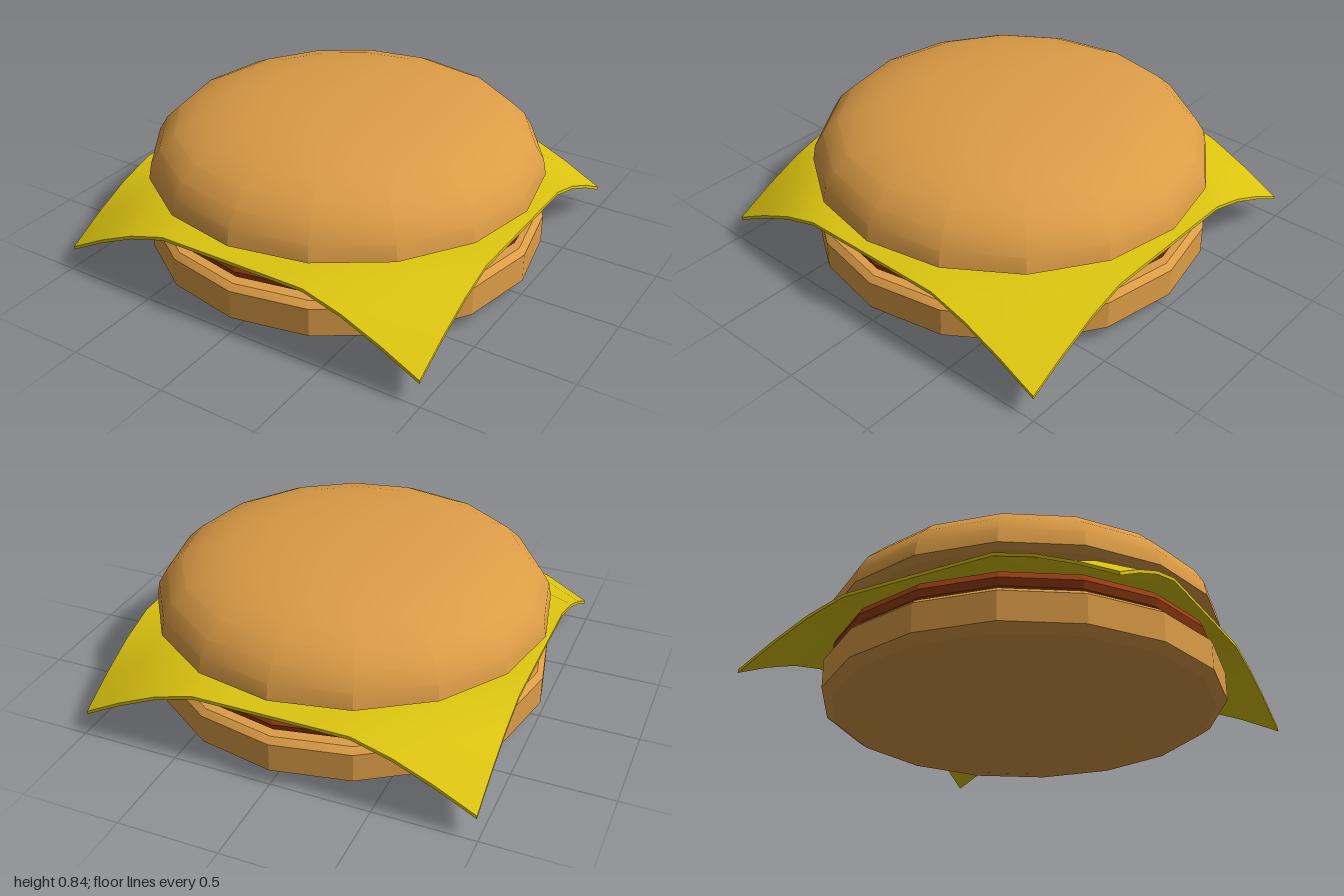
import * as THREE from 'three';
import { toCreasedNormals } from 'three/addons/utils/BufferGeometryUtils.js';

const mat = (name, color) => {
  const m = new THREE.MeshStandardMaterial({ color });
  m.name = name;
  return m;
};

// Sixteen-sided turned part from an [radius, height] profile, bottom to top
function turned(name, profile, material) {
  const points = profile.map(([r, y]) => new THREE.Vector2(r, y));
  const geometry = toCreasedNormals(new THREE.LatheGeometry(points, 16), 0.36);
  const mesh = new THREE.Mesh(geometry, material);
  mesh.name = name;
  return mesh;
}

// Square slice whose rim sags a little and whose corners hang down
function cheeseSlice(material) {
  const half = 0.985;
  const geometry = new THREE.BoxGeometry(half * 2, 0.017, half * 2, 10, 1, 10);
  const p = geometry.attributes.position;
  for (let i = 0; i < p.count; i++) {
    const x = Math.abs(p.getX(i)) / half, z = Math.abs(p.getZ(i)) / half;
    const rim = 0.03 * Math.max(0, (Math.max(x, z) - 0.75) / 0.25);
    const corner = 0.25 * Math.pow(Math.max(0, (x * z - 0.39) / 0.61), 1.35);
    p.setY(i, p.getY(i) + 0.397 - rim - corner);
  }
  const mesh = new THREE.Mesh(toCreasedNormals(geometry, 0.7), material);
  mesh.name = 'cheeseSlice';
  return mesh;
}

export function createModel() {
  const bun = mat('bun', 0xdc9c46);
  const meat = mat('meat', 0x9c4014);
  const cheese = mat('cheese', 0xdcc410);
  const burger = new THREE.Group();
  burger.name = 'burger';

  burger.add(
    turned('bottomBun', [
      [0, 0], [0.5, 0.005], [0.82, 0.02], [0.95, 0.045], [1, 0.08],
      [1, 0.225], [0.97, 0.252], [0, 0.255],
    ], bun),
    turned('patty', [
      [0, 0.25], [0.9, 0.25], [0.945, 0.275], [0.96, 0.31],
      [0.945, 0.345], [0.9, 0.365], [0, 0.365],
    ], meat),
    cheeseSlice(cheese),
    turned('topBun', [
      [0, 0.42], [0.45, 0.422], [0.8, 0.432], [0.96, 0.443], [0.995, 0.465],
      [0.98, 0.545], [0.935, 0.62], [0.86, 0.69], [0.75, 0.745],
      [0.61, 0.788], [0.42, 0.818], [0.22, 0.833], [0, 0.838],
    ], bun),
  );
  return burger;
}
